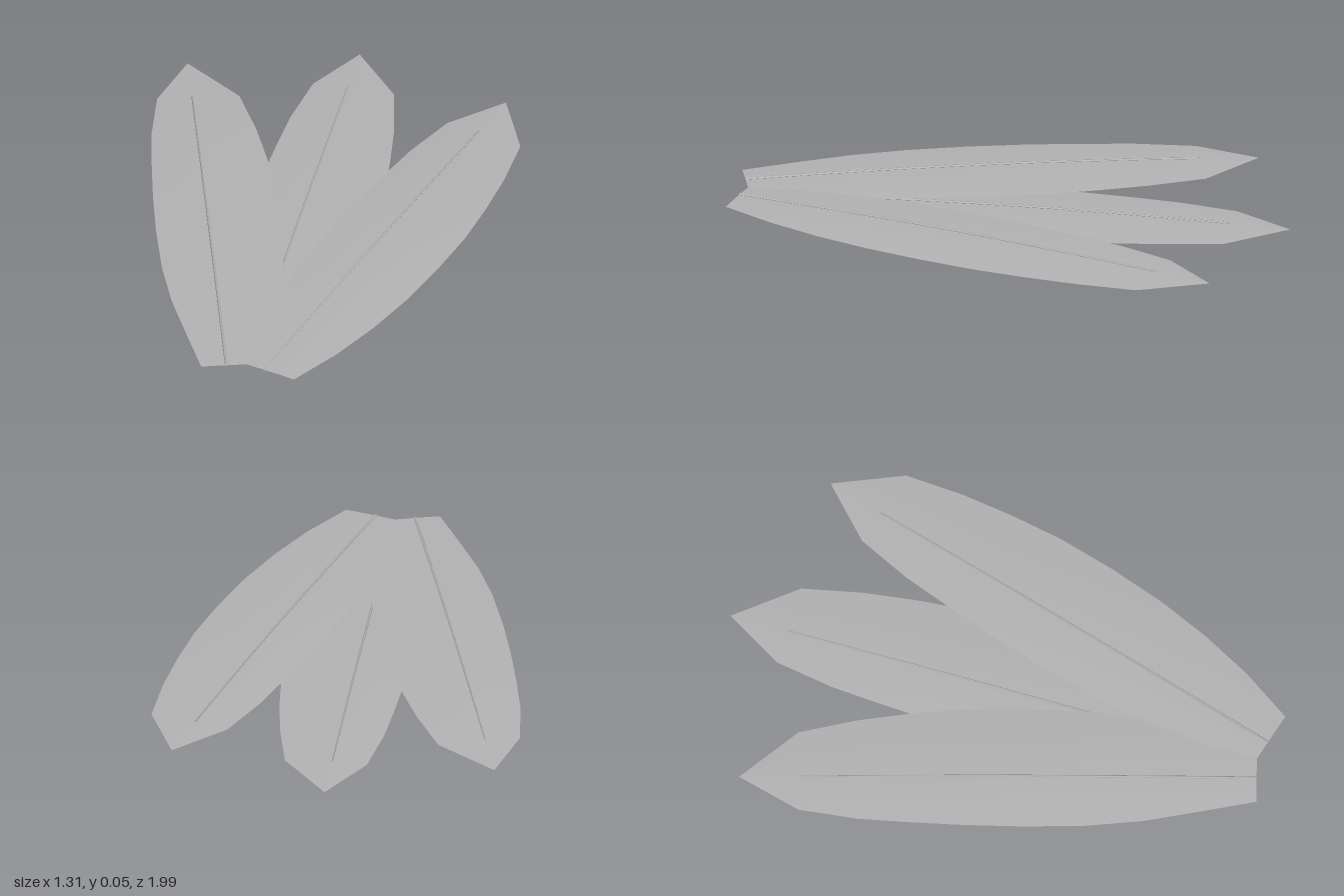
import * as THREE from 'three';

// Cross-sections: distance along spine, left width, right width, spine height
const SECTIONS = [
  [0, 0.089, 0.115, 0.036],
  [0.2, 0.128, 0.178, 0.040],
  [0.4, 0.165, 0.220, 0.043],
  [0.6, 0.184, 0.246, 0.045],
  [0.82, 0.188, 0.257, 0.045],
  [1.03, 0.183, 0.256, 0.043],
  [1.22, 0.173, 0.239, 0.039],
  [1.41, 0.159, 0.213, 0.034],
  [1.62, 0.124, 0.168, 0.027],
  [1.83, 0, 0, 0.020],
];

// Gently cambered vane, four columns of quads wide
function vaneGeometry() {
  const pos = [], idx = [];
  const cols = 5;
  SECTIONS.forEach(([d, l, r, y]) => {
    for (let j = 0; j < cols; j++) {
      const u = j / 2 - 1;
      const x = u < 0 ? u * l : u * r;
      pos.push(x, y - 0.2 * x * x, -d);
    }
  });
  for (let i = 0; i < SECTIONS.length - 1; i++) {
    for (let j = 0; j < cols - 1; j++) {
      const a = i * cols + j, b = a + 1, c = a + cols, e = c + 1;
      idx.push(a, b, c, b, e, c);
    }
  }
  const g = new THREE.BufferGeometry();
  g.setAttribute('position', new THREE.Float32BufferAttribute(pos, 3));
  g.setIndex(idx);
  g.computeVertexNormals();
  return g;
}

// Tapered quill following the spine
function quillGeometry() {
  const pts = SECTIONS.slice(0, -1).map(([d, , , y]) => new THREE.Vector3(0, y + 0.001, -d));
  const g = new THREE.TubeGeometry(new THREE.CatmullRomCurve3(pts), 16, 0.005, 6, false);
  const p = g.attributes.position;
  for (let i = 0; i < p.count; i++) {
    p.setX(i, p.getX(i) * (1 + 0.3 * p.getZ(i)));
  }
  g.computeVertexNormals();
  return g;
}

export function createModel() {
  const model = new THREE.Group();
  model.name = 'featherFan';
  const grey = new THREE.MeshStandardMaterial({ color: 0xb4b4b4, side: THREE.DoubleSide });
  grey.name = 'featherGrey';
  const vane = vaneGeometry(), quill = quillGeometry();

  // The same feather placed three times; the middle one lies lower and further back
  const placements = [
    ['rightFeather', -0.09, 0, 0.96, 0.282],
    ['middleFeather', -0.02, -0.019, 0.83, 0],
    ['leftFeather', 0.05, 0, 0.96, -0.277],
  ];
  for (const [name, x, y, z, turn] of placements) {
    const feather = new THREE.Group();
    feather.name = name;
    const v = new THREE.Mesh(vane, grey);
    v.name = 'vane';
    const q = new THREE.Mesh(quill, grey);
    q.name = 'quill';
    feather.add(v, q);
    feather.position.set(x, y, z);
    feather.rotation.y = turn;
    model.add(feather);
  }
  return model;
}
